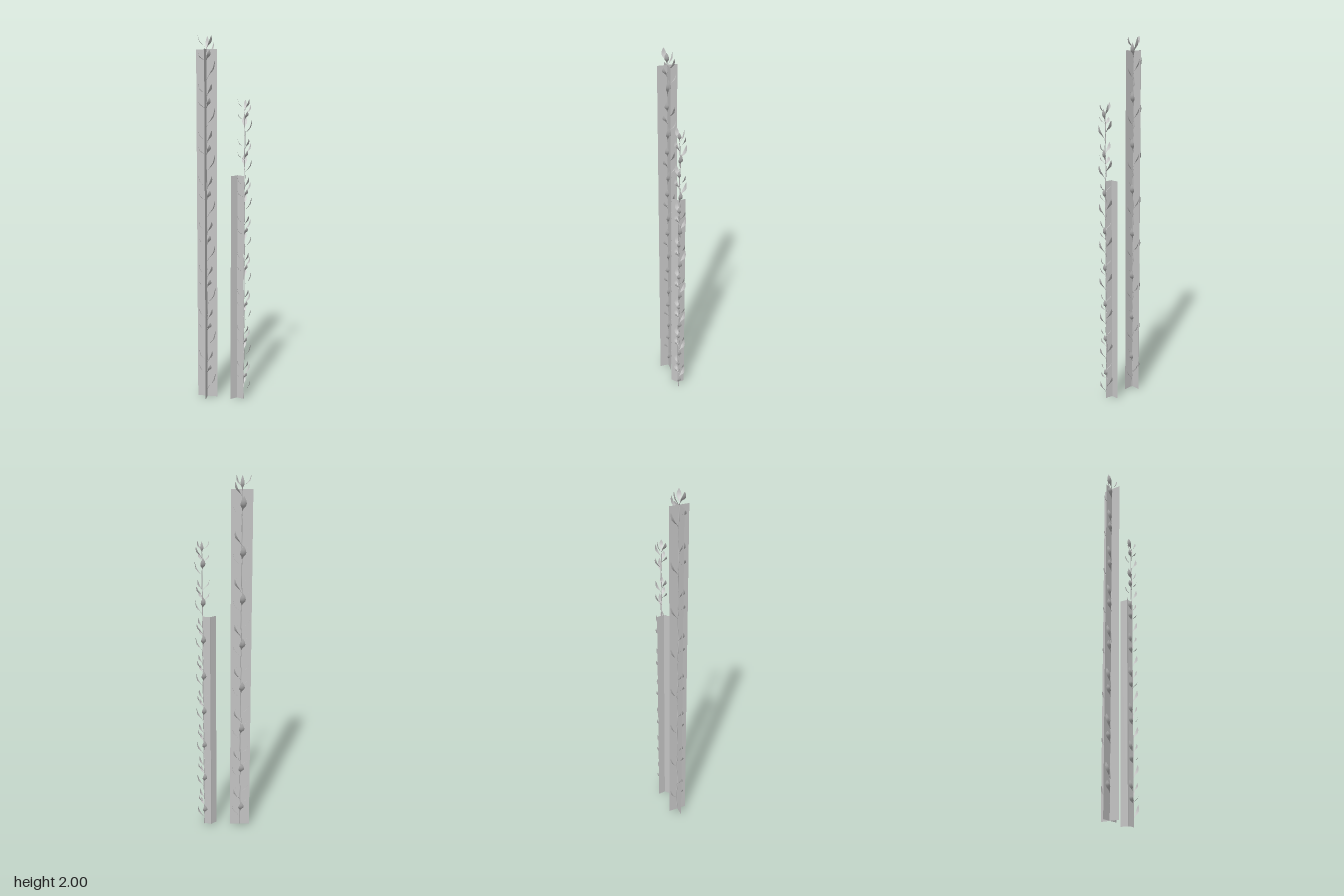
import * as THREE from 'three';

const grey = new THREE.MeshStandardMaterial({ color: 0xc4c4c4, side: THREE.DoubleSide });
grey.name = 'plain grey';

// S-curved leaf: rows of [outward, upward, half width], as fractions of reach, rise and width
const ROWS = [
  [0, 0, 0.12], [0.2, 0.2, 0.15], [0.4, 0.32, 0.4], [0.62, 0.42, 0.9],
  [0.82, 0.55, 1], [0.93, 0.75, 0.75], [1, 1, 0.06],
];

function leafGeometry(reach, rise, width) {
  const pos = [], index = [];
  ROWS.forEach(([o, u, w], i) => {
    for (const s of [-1, 0, 1]) {
      // the edges lift a little above the midrib
      pos.push(o * reach, u * rise + Math.abs(s) * w * width * 0.12, s * w * width * 0.5);
    }
    if (i === 0) return;
    for (let c = 0; c < 2; c++) {
      const a = (i - 1) * 3 + c, b = a + 1, d = a + 3, e = d + 1;
      index.push(a, b, d, b, e, d);
    }
  });
  const g = new THREE.BufferGeometry();
  g.setAttribute('position', new THREE.Float32BufferAttribute(pos, 3));
  g.setIndex(index);
  g.computeVertexNormals();
  return g;
}

// one repeat of the vine: base height, outward x, outward z, rise, width
const LEAVES = [
  [0.04, 0.047, 0.006, 0.1, 0.026],
  [0.08, -0.008, -0.046, 0.09, 0.032],
  [0.13, -0.043, 0.012, 0.055, 0.024],
  [0.14, 0.022, 0.026, 0.055, 0.022],
  [0.16, 0.036, -0.026, 0.08, 0.022],
  [0.2, -0.045, 0.006, 0.075, 0.026],
  [0.2, 0.03, 0.012, 0.07, 0.024],
];
const PERIOD = 0.247, REPEATS = 8;

function makeVine() {
  const vine = new THREE.Group();
  vine.name = 'vine';

  // thin wandering stem
  const pts = [];
  for (let i = 0; i <= REPEATS * 4; i++) {
    const t = i * Math.PI / 2;
    pts.push(new THREE.Vector3(0.002 * Math.sin(t), (i / (REPEATS * 4)) * 1.92, -0.003 + 0.003 * Math.cos(t)));
  }
  const stem = new THREE.Mesh(
    new THREE.TubeGeometry(new THREE.CatmullRomCurve3(pts), 96, 0.003, 5), grey);
  stem.name = 'stem';
  vine.add(stem);

  // leaves repeated up the stem
  for (const [y, x, z, rise, width] of LEAVES) {
    const geo = leafGeometry(Math.hypot(x, z), rise, width);
    for (let k = 0; k < REPEATS; k++) {
      const leaf = new THREE.Mesh(geo, grey);
      leaf.name = 'leaf';
      leaf.position.y = y + k * PERIOD;
      leaf.rotation.y = Math.atan2(-z, x);
      vine.add(leaf);
    }
  }

  // upright leaf at the tip
  const tip = new THREE.Mesh(leafGeometry(0.028, 0.085, 0.02), grey);
  tip.name = 'tipLeaf';
  tip.position.y = 1.914;
  tip.rotation.y = Math.PI / 2;
  vine.add(tip);
  return vine;
}

// flat upright panel between two ground points
function panel(name, x0, z0, x1, z1, height) {
  const m = new THREE.Mesh(new THREE.PlaneGeometry(Math.hypot(x1 - x0, z1 - z0), height), grey);
  m.name = name;
  m.position.set((x0 + x1) / 2, height / 2, (z0 + z1) / 2);
  m.rotation.y = Math.atan2(z0 - z1, x1 - x0);
  return m;
}

export function createModel() {
  const model = new THREE.Group();
  model.name = 'climbingVines';

  // tall vine on two crossed panels
  const tall = makeVine();
  tall.name = 'tallVine';
  tall.position.x = -0.1;
  model.add(tall);
  model.add(panel('tallPanelAcross', -0.155, 0, -0.043, 0, 1.93));
  model.add(panel('tallPanelDeep', -0.1, -0.052, -0.1, 0.052, 1.93));

  // smaller vine beside a three-winged support
  const small = makeVine();
  small.name = 'smallVine';
  small.position.x = 0.107;
  small.scale.setScalar(0.835);
  model.add(small);
  for (const [x, z] of [[0.037, 0.021], [0.106, 0.004], [0.064, -0.048]]) {
    model.add(panel('smallSupportWing', 0.068, -0.007, x, z, 1.265));
  }
  return model;
}
